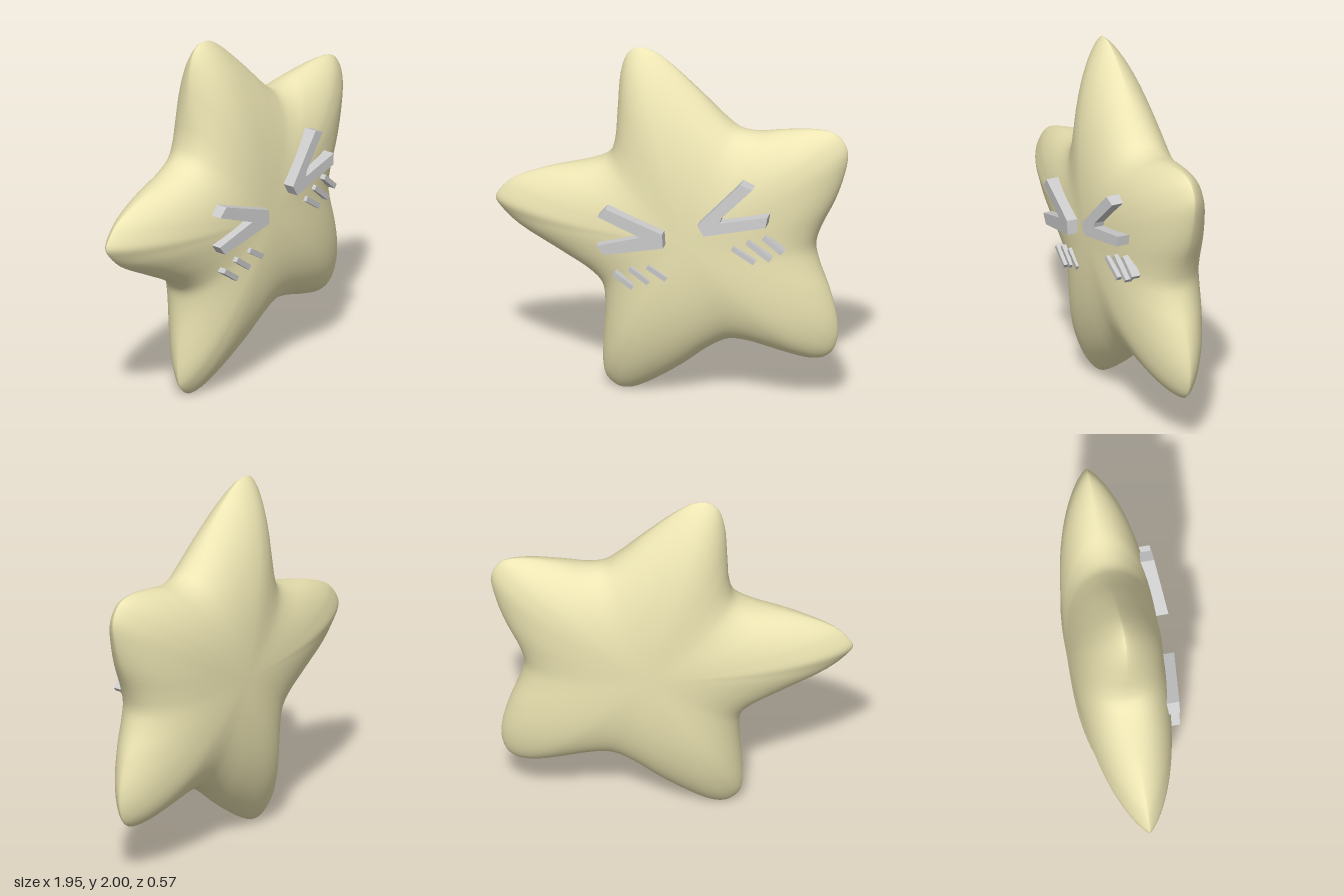
import * as THREE from 'three';

const grey = new THREE.MeshStandardMaterial({ color: 0xcccccc });
const yellow = new THREE.MeshStandardMaterial({ color: 0xede5b3 });
const CENTER = new THREE.Vector2(0.12, 0.98);
const MID_Z = -0.033, HALF_DEPTH = 0.25;

// Star outline, clockwise from the top arm
const OUTLINE = [
  [-0.2, 2], [-0.13, 2], [-0.04, 1.95], [0.14, 1.79], [0.29, 1.64], [0.37, 1.58], [0.47, 1.57],
  [0.6, 1.595], [0.8, 1.62], [0.9, 1.605], [0.95, 1.555], [0.97, 1.49], [0.95, 1.37], [0.9, 1.22],
  [0.82, 1.05], [0.79, 0.94], [0.81, 0.84], [0.87, 0.68], [0.91, 0.52], [0.91, 0.41], [0.88, 0.33],
  [0.83, 0.29], [0.76, 0.28], [0.65, 0.3], [0.42, 0.36], [0.32, 0.36], [0.21, 0.3], [0.05, 0.17],
  [-0.15, 0.04], [-0.24, 0.005], [-0.3, 0.01], [-0.36, 0.06], [-0.38, 0.13], [-0.38, 0.26],
  [-0.365, 0.52], [-0.38, 0.63], [-0.45, 0.7], [-0.62, 0.79], [-0.85, 0.91], [-0.94, 0.99],
  [-0.975, 1.045], [-0.95, 1.1], [-0.88, 1.17], [-0.7, 1.25], [-0.42, 1.33], [-0.34, 1.385],
  [-0.31, 1.48], [-0.3, 1.64], [-0.285, 1.85], [-0.25, 1.96],
];

// Puffy body: scaled outlines swept from the front pole to the back pole
function starGeometry(around = 200, rings = 48) {
  const curve = new THREE.CatmullRomCurve3(OUTLINE.map(([x, y]) => new THREE.Vector3(x, y, 0)), true);
  const rim = curve.getPoints(around).slice(0, around);
  const pos = [], index = [];
  for (let i = 0; i <= rings; i++) {
    const phi = (i / rings) * Math.PI;
    const t = Math.sin(phi);
    const side = i * 2 === rings ? 0 : Math.sign(Math.cos(phi));
    for (let j = 0; j < around; j++) {
      const dx = rim[j].x - CENTER.x, dy = rim[j].y - CENTER.y;
      // steep rounded edges in the valleys, tapering towards the tips
      const tip = THREE.MathUtils.clamp((Math.hypot(dx, dy) - 0.6) / 0.45, 0, 1);
      const power = THREE.MathUtils.lerp(0.42, 0.78, tip);
      const h = HALF_DEPTH * Math.pow(Math.max(0, 1 - Math.pow(t, 2.6)), power);
      pos.push(CENTER.x + dx * t, CENTER.y + dy * t, MID_Z + side * h);
      if (i < rings) {
        const n = (j + 1) % around;
        const a = i * around + j, b = i * around + n, c = a + around, d = b + around;
        if (i > 0) index.push(a, b, c);
        if (i < rings - 1 || i === 0) index.push(b, d, c);
      }
    }
  }
  const geo = new THREE.BufferGeometry();
  geo.setAttribute('position', new THREE.Float32BufferAttribute(pos, 3));
  geo.setIndex(index);
  geo.computeVertexNormals();
  // the two poles are flat
  const normal = geo.attributes.normal;
  for (let j = 0; j < around; j++) {
    normal.setXYZ(j, 0, 0, 1);
    normal.setXYZ(rings * around + j, 0, 0, -1);
  }
  return geo;
}

// Flat plate whose front follows a tilted plane z = z0 + sx*x + sy*y
function plate(name, points, depth, [z0, sx, sy]) {
  const shape = new THREE.Shape(points.map(([x, y]) => new THREE.Vector2(x, y)));
  const geo = new THREE.ExtrudeGeometry(shape, { depth, bevelEnabled: false });
  const p = geo.attributes.position;
  for (let i = 0; i < p.count; i++) {
    p.setZ(i, p.getZ(i) - depth + z0 + sx * p.getX(i) + sy * p.getY(i));
  }
  geo.computeVertexNormals();
  const mesh = new THREE.Mesh(geo, grey);
  mesh.name = name;
  return mesh;
}

// Slim slanted bar from one end to the other
function bar(name, [x0, y0, x1, y1], tilt) {
  const len = Math.hypot(x1 - x0, y1 - y0), w = 0.014;
  const nx = (-(y1 - y0) / len) * w, ny = ((x1 - x0) / len) * w;
  return plate(name, [[x0 - nx, y0 - ny], [x1 - nx, y1 - ny], [x1 + nx, y1 + ny], [x0 + nx, y0 + ny]], 0.05, tilt);
}

export function createModel() {
  const model = new THREE.Group();
  model.name = 'star';

  const body = new THREE.Mesh(starGeometry(), yellow);
  body.name = 'body';
  model.add(body);

  // Squinting eyes
  model.add(plate('leftEye', [
    [0.21, 1.13], [0.245, 1.07], [0.58, 1.14], [0.59, 1.2], [0.33, 1.15], [0.34, 1.18], [0.505, 1.35], [0.44, 1.375],
  ], 0.075, [0.382, -0.08, -0.075]));
  model.add(plate('rightEye', [
    [0.015, 1.055], [-0.305, 1.16], [-0.35, 1.11], [-0.11, 1.02], [-0.355, 0.94], [-0.315, 0.89], [0.02, 0.975],
  ], 0.075, [0.275, 0.09, 0]));

  // Blush marks, three on each cheek
  const leftMarks = [[0.39, 0.99, 0.51, 0.91], [0.47, 1.03, 0.595, 0.93], [0.56, 1.06, 0.66, 0.975]];
  const rightMarks = [[-0.27, 0.77, -0.165, 0.695], [-0.18, 0.81, -0.075, 0.735], [-0.08, 0.835, 0.025, 0.77]];
  leftMarks.forEach((m, i) => model.add(bar(`leftBlush${i + 1}`, m, [0.265, -0.1, 0])));
  rightMarks.forEach((m, i) => model.add(bar(`rightBlush${i + 1}`, m, [0.165, 0.06, 0.08])));

  return model;
}
